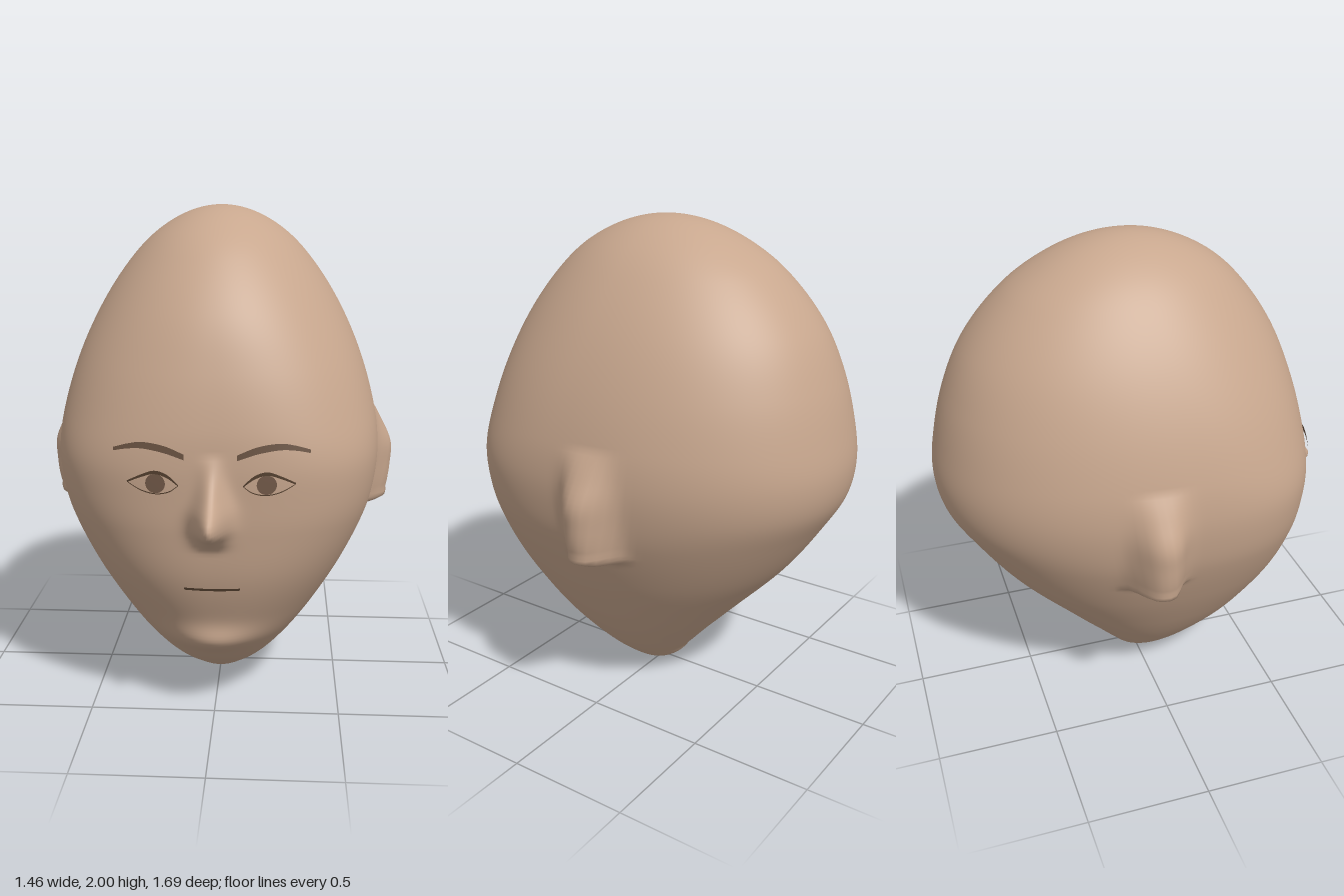
import * as THREE from 'three';

// Head levels: y, half width, front z, back z, z of widest point, front squareness
const LEVELS = [
  [0, 0, 0.02, 0.02, 0.02, 2],
  [0.05, 0.125, 0.17, -0.10, 0.03, 2],
  [0.1, 0.185, 0.26, -0.14, 0.04, 2],
  [0.2, 0.275, 0.405, -0.23, 0.05, 2],
  [0.3, 0.35, 0.50, -0.325, 0.06, 2.05],
  [0.4, 0.415, 0.56, -0.42, 0.07, 2.15],
  [0.6, 0.525, 0.64, -0.605, 0.08, 2.4],
  [0.8, 0.61, 0.675, -0.745, 0.09, 2.6],
  [0.93, 0.64, 0.685, -0.82, 0.09, 2.7],
  [1.06, 0.65, 0.69, -0.845, 0.08, 2.7],
  [1.2, 0.635, 0.68, -0.83, 0.06, 2.5],
  [1.4, 0.58, 0.637, -0.78, 0.03, 2.3],
  [1.6, 0.492, 0.562, -0.69, 0, 2.1],
  [1.8, 0.36, 0.42, -0.52, -0.02, 2],
  [1.9, 0.26, 0.30, -0.375, -0.03, 2],
  [2, 0, -0.03, -0.03, -0.03, 2],
];
const NOSE = [[0.74, 0], [0.79, 0.065], [0.83, 0.15], [0.875, 0.162], [0.955, 0.085], [1.03, 0.032], [1.11, 0]];
const EAR = [[0.725, 0], [0.75, 0.115], [0.8, 0.115], [0.91, 0.102], [1.0, 0.09], [1.1, 0.045], [1.2, 0]];

// Smooth interpolation of column k in a table keyed by column 0
function lookup(table, t, k) {
  const last = table.length - 1;
  if (t <= table[0][0]) return table[0][k];
  if (t >= table[last][0]) return table[last][k];
  let i = 0;
  while (t > table[i + 1][0]) i++;
  const slope = j => {
    const a = table[Math.max(j - 1, 0)], b = table[Math.min(j + 1, last)];
    return (b[k] - a[k]) / (b[0] - a[0]);
  };
  const h = table[i + 1][0] - table[i][0], s = (t - table[i][0]) / h;
  const s2 = s * s, s3 = s2 * s;
  return (2 * s3 - 3 * s2 + 1) * table[i][k] + (s3 - 2 * s2 + s) * h * slope(i)
    + (3 * s2 - 2 * s3) * table[i + 1][k] + (s3 - s2) * h * slope(i + 1);
}

// Keyed by polar angle so that crown and jaw tip stay round
const toAngle = y => Math.acos(THREE.MathUtils.clamp(1 - y, -1, 1));
const PROFILE = LEVELS.map(([y, ...rest]) => [toAngle(y), ...rest]);
function levelAt(y) {
  const [w, front, back, mid, n] = [1, 2, 3, 4, 5].map(k => lookup(PROFILE, toAngle(y), k));
  return { w, front, back, mid, n };
}

// Nose and chin relief added to the front of the face
function faceRelief(x, y) {
  const noseWidth = 0.04 + 0.018 * THREE.MathUtils.smoothstep(1.05 - y, 0, 0.17);
  const nose = Math.max(0, lookup(NOSE, y, 1)) * Math.exp(-((x / noseWidth) ** 2));
  const chin = 0.05 * Math.exp(-((x / 0.17) ** 2) - ((y - 0.31) / 0.065) ** 2);
  return nose + chin;
}

// Front surface of the face at x, y
function faceZ(x, y) {
  const { w, front, mid, n } = levelAt(y);
  const r = Math.min(1, Math.abs(x) / w);
  return mid + (front - mid) * (1 - r ** n) ** (1 / n) + faceRelief(x, y);
}

// Head skin with nose, chin and ears raised from it
function headGeometry(rows = 170, cols = 240) {
  const positions = [], index = [];
  for (let i = 0; i <= rows; i++) {
    const y = 1 - Math.cos(Math.PI * i / rows);
    const { w, front, back, mid, n } = levelAt(y);
    const ear = Math.max(0, lookup(EAR, y, 1));
    for (let j = 0; j < cols; j++) {
      const t = (j / cols) * 2 * Math.PI - Math.PI;
      const a = t - 0.45 * Math.sin(t); // finer towards the face
      const s = Math.sin(a), c = Math.cos(a);
      const e = c > 0 ? n : 2.1;
      const r = (Math.abs(s) ** e + Math.abs(c) ** e) ** (-1 / e);
      let x = w * r * s;
      let z = mid + (c > 0 ? front - mid : mid - back) * r * c;
      x += Math.sign(s) * ear * Math.exp(-(Math.abs((z + 0.09) / 0.09) ** 3));
      if (c > 0) z += faceRelief(x, y) * THREE.MathUtils.smoothstep(c, 0, 0.4);
      positions.push(x, y, z);
      if (i < rows) {
        const k = (j + 1) % cols, p = i * cols, q = p + cols;
        index.push(p + j, p + k, q + k, p + j, q + k, q + j);
      }
    }
  }
  const g = new THREE.BufferGeometry();
  g.setAttribute('position', new THREE.Float32BufferAttribute(positions, 3));
  g.setIndex(index);
  g.computeVertexNormals();
  return g;
}

// Thin ribbon lying on the face between an upper and a lower edge
function ribbon(upper, lower, side, lift) {
  const curve = pts => new THREE.SplineCurve(pts.map(p => new THREE.Vector2(p[0] * side, p[1])));
  const edges = [curve(lower), curve(upper)], positions = [], index = [], steps = 24;
  for (let i = 0; i <= steps; i++) {
    for (const edge of edges) {
      const p = edge.getPoint(i / steps);
      positions.push(p.x, p.y, faceZ(p.x, p.y) + lift);
    }
    if (i < steps) {
      const a = i * 2;
      if (side > 0) index.push(a, a + 2, a + 3, a, a + 3, a + 1);
      else index.push(a, a + 3, a + 2, a, a + 1, a + 3);
    }
  }
  const g = new THREE.BufferGeometry();
  g.setAttribute('position', new THREE.Float32BufferAttribute(positions, 3));
  g.setIndex(index);
  g.computeVertexNormals();
  return g;
}

// Flat disc laid on the face
function disc(radius, x, y, lift) {
  const g = new THREE.CircleGeometry(radius, 28).translate(x, y, 0);
  const p = g.attributes.position;
  for (let i = 0; i < p.count; i++) p.setZ(i, faceZ(p.getX(i), p.getY(i)) + lift);
  g.computeVertexNormals();
  return g;
}

export function createModel() {
  const model = new THREE.Group();
  model.name = 'head';
  const material = (name, color) => new THREE.MeshStandardMaterial({ name, color, side: THREE.DoubleSide });
  const skin = material('skin', 0xc8a78e);
  const hair = material('brow brown', 0x6a5342);
  const line = material('dark line', 0x54402f);
  const iris = material('iris brown', 0x735a49);
  const add = (name, geometry, mat) => {
    const mesh = new THREE.Mesh(geometry, mat);
    mesh.name = name;
    model.add(mesh);
  };

  add('headSkin', headGeometry(), skin);

  for (const side of [1, -1]) {
    const label = side > 0 ? 'left' : 'right';
    add(label + 'Eyebrow', ribbon(
      [[0.097, 1.118], [0.17, 1.147], [0.25, 1.158], [0.31, 1.148], [0.365, 1.13]],
      [[0.097, 1.097], [0.17, 1.121], [0.25, 1.134], [0.31, 1.13], [0.363, 1.118]], side, 0.012), hair);
    add(label + 'UpperLid', ribbon(
      [[0.118, 1.002], [0.16, 1.04], [0.208, 1.054], [0.26, 1.036], [0.312, 1.01]],
      [[0.12, 0.998], [0.16, 1.027], [0.208, 1.041], [0.26, 1.026], [0.31, 1.004]], side, 0.009), line);
    add(label + 'LowerLid', ribbon(
      [[0.12, 1.0], [0.155, 0.976], [0.205, 0.967], [0.26, 0.979], [0.31, 1.006]],
      [[0.12, 0.997], [0.155, 0.972], [0.205, 0.963], [0.26, 0.975], [0.31, 1.003]], side, 0.007), line);
    add(label + 'Iris', disc(0.037, 0.205 * side, 1.004, 0.006), iris);
  }

  add('mouth', ribbon(
    [[-0.107, 0.582], [0, 0.58], [0.107, 0.582]],
    [[-0.105, 0.572], [0, 0.57], [0.105, 0.572]], 1, 0.007), line);

  return model;
}
